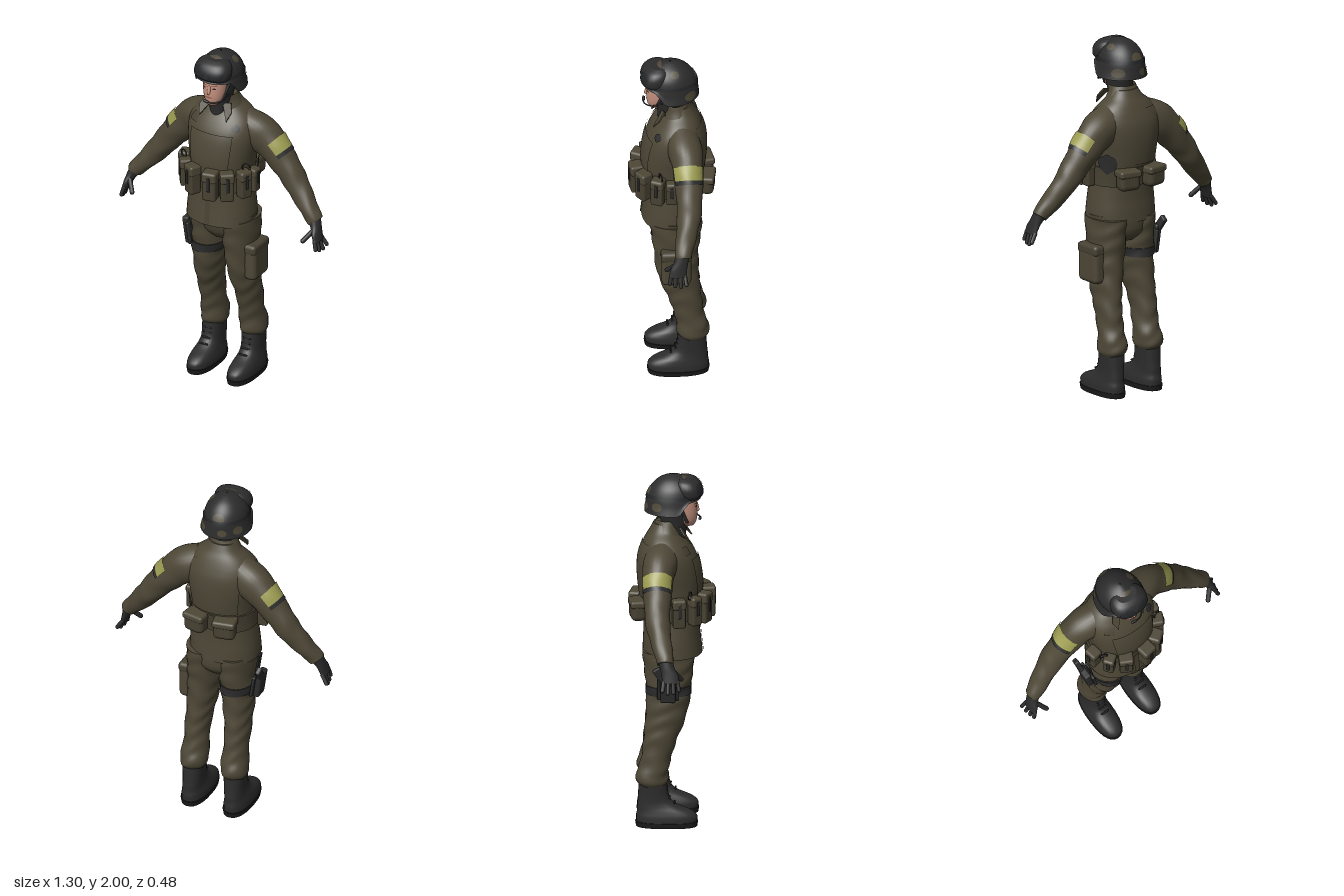
import * as THREE from 'three';
import { RoundedBoxGeometry } from 'three/addons/geometries/RoundedBoxGeometry.js';

const mat = (name, color, side = THREE.FrontSide) => {
  const m = new THREE.MeshStandardMaterial({ color, side });
  m.name = name;
  return m;
};

// Smooth interpolation of a list of cross-sections [x, y, z, halfU, halfZ]
function sample(secs, t) {
  const n = secs.length, i = Math.max(0, Math.min(Math.floor(t), n - 2)), f = t - i;
  const at = (k) => secs[Math.max(0, Math.min(n - 1, k))];
  return at(i).map((b, k) => {
    const a = at(i - 1)[k], c = at(i + 1)[k], d = at(i + 2)[k];
    return b + 0.5 * f * (c - a + f * (2 * a - 5 * b + 4 * c - d + f * (3 * (b - c) + d - a)));
  });
}

// Skin over cross-sections; limited t and angle ranges make patches lying on the same surface
function loft(secs, o = {}) {
  const n = secs.length - 1;
  const { t0 = 0, t1 = n, seg = 28, a0 = 0, a1 = Math.PI * 2, grow = 0, blob = false, p = 2, follow = false, fold = 0 } = o;
  const steps = o.steps ?? Math.max(4, Math.ceil((t1 - t0) * 4)), full = a1 - a0 > 6.28;
  const pos = [], idx = [], w = seg + 1, pw = (v) => Math.sign(v) * Math.abs(v) ** (2 / p);
  for (let i = 0; i <= steps; i++) {
    const t = t0 + ((t1 - t0) * i) / steps, [x, y, z, ru, rv] = sample(secs, t);
    let ux = 1, uy = 0;
    if (follow) {
      const A = sample(secs, Math.max(0, t - 0.1)), B = sample(secs, Math.min(n, t + 0.1));
      const l = Math.hypot(B[0] - A[0], B[1] - A[1]);
      ux = (B[1] - A[1]) / l; uy = -(B[0] - A[0]) / l;
    }
    const k = blob ? Math.max(0.05, Math.sqrt(1 - (2 * i / steps - 1) ** 2)) : 1, mid = (a0 + a1) / 2;
    for (let j = 0; j <= seg; j++) {
      const a = mid + (a0 - mid + ((a1 - a0) * j) / seg) * k;
      const g = grow + fold * Math.sin(y * 55 + 2 * Math.sin(a * 2 + y * 9));
      const c = pw(Math.cos(a)) * (ru + g), s = pw(Math.sin(a)) * (rv + g);
      pos.push(x + ux * c, y + uy * c, z + s);
    }
  }
  const at = (i, j) => i * w + (full ? j % seg : j);
  for (let i = 0; i < steps; i++) for (let j = 0; j < seg; j++)
    idx.push(at(i, j), at(i + 1, j), at(i, j + 1), at(i + 1, j), at(i + 1, j + 1), at(i, j + 1));
  // End caps on their own vertices
  if (full && !o.open) for (const i of [0, steps]) {
    const base = pos.length / 3, c = sample(secs, i ? t1 : t0);
    pos.push(c[0], c[1], c[2]);
    for (let j = 0; j < seg; j++) pos.push(...pos.slice((i * w + j) * 3, (i * w + j) * 3 + 3));
    for (let j = 0; j < seg; j++) {
      const a = base + 1 + j, b = base + 1 + ((j + 1) % seg);
      idx.push(base, ...(i ? [b, a] : [a, b]));
    }
  }
  const g = new THREE.BufferGeometry();
  g.setAttribute('position', new THREE.Float32BufferAttribute(pos, 3));
  g.setIndex(idx);
  g.computeVertexNormals();
  return g;
}

// Capsule between two points
function rod(a, b, r) {
  const A = new THREE.Vector3(...a), d = new THREE.Vector3(...b).sub(A);
  const g = new THREE.CapsuleGeometry(r, d.length(), 4, 10);
  g.applyQuaternion(new THREE.Quaternion().setFromUnitVectors(new THREE.Vector3(0, 1, 0), d.clone().normalize()));
  return g.translate(A.x + d.x / 2, A.y + d.y / 2, A.z + d.z / 2);
}

export function createModel() {
  const root = new THREE.Group();
  const cloth = mat('uniform olive', 0x4d4736), gear = mat('gear olive', 0x474132);
  const black = mat('black', 0x2c2c2d), blackOpen = black.clone(), clothOpen = cloth.clone();
  blackOpen.side = clothOpen.side = THREE.DoubleSide;
  const sole = mat('sole black', 0x1c1c1c), lens = mat('lens grey', 0x222426);
  const yellow = mat('armband yellow', 0x9c9c52), skin = mat('skin', 0xc4917f), lip = mat('lip', 0x9a6055);
  const add = (name, geo, m, parent = root) => {
    const mesh = new THREE.Mesh(geo, m);
    mesh.name = name;
    parent.add(mesh);
    return mesh;
  };
  const box = (w, h, d, r = 0.012) => new RoundedBoxGeometry(w, h, d, 2, r);
  const H = Math.PI / 2;

  // Jacket and vest
  const torso = [[0.98, 0.2, 0, 0.165], [1.05, 0.197, -0.003, 0.16], [1.12, 0.19, -0.005, 0.155], [1.22, 0.18, -0.01, 0.155],
    [1.35, 0.185, -0.012, 0.172], [1.45, 0.2, -0.02, 0.172], [1.53, 0.205, -0.028, 0.16], [1.59, 0.19, -0.035, 0.135],
    [1.64, 0.15, -0.043, 0.105], [1.68, 0.1, -0.045, 0.08], [1.72, 0.075, -0.04, 0.065]]
    .map(([y, rx, z, rz]) => [-0.005, y, z, rx, rz]);
  const T = { p: 2.2, seg: 40 };
  add('jacket', loft(torso, T), cloth);
  add('hemPlacket', loft(torso, { ...T, t0: 0.1, t1: 2.8, a0: H - 0.06, a1: H + 0.06, grow: 0.005, seg: 4 }), gear);
  add('chestPanel', loft(torso, { ...T, t0: 3.6, t1: 6.15, a0: H - 0.62, a1: H + 0.62, grow: 0.009, seg: 16 }), cloth);
  add('belt', loft(torso, { ...T, t0: 2.75, t1: 3.6, grow: 0.01 }), gear);
  add('backPanel', loft(torso, { ...T, t0: 3.7, t1: 7.6, a0: -H - 0.8, a1: -H + 0.8, grow: 0.006, seg: 16 }), cloth);
  add('sideDarkPatch', loft(torso, { ...T, t0: 3.35, t1: 4.3, a0: -0.85, a1: -0.2, grow: 0.013, seg: 12, blob: true }), black);
  add('chestBadge', loft(torso, { ...T, t0: 6.4, t1: 7.2, a0: H - 0.85, a1: H - 0.55, grow: 0.008, seg: 10, blob: true }), black);
  add('chestTag', loft(torso, { ...T, t0: 6.6, t1: 7.4, a0: H + 0.5, a1: H + 0.85, grow: 0.006, seg: 6 }), gear);

  // Collar
  const collar = [[-0.005, 1.655, -0.035, 0.115, 0.09], [-0.005, 1.7, -0.03, 0.09, 0.075], [-0.005, 1.74, -0.02, 0.075, 0.07]];
  add('collar', loft(collar, { a0: H + 0.6, a1: H + Math.PI * 2 - 0.6 }), clothOpen);
  for (const s of [1, -1]) {
    const sh = new THREE.Shape([[0, 0], [0.045, 0.015], [0.068, -0.035], [0.05, -0.095]].map(([x, y]) => new THREE.Vector2(s * x, y)));
    const flap = add('collarFlap', new THREE.ExtrudeGeometry(sh, { depth: 0.008, bevelEnabled: false }), cloth);
    flap.rotation.x = -0.6;
    flap.position.set(-0.005 + s * 0.035, 1.695, 0.046);
  }

  // Belt pouches: x, z, width, height, depth
  const pouches = [[-0.215, 0.04, 0.07, 0.16, 0.06], [-0.165, 0.125, 0.06, 0.16, 0.06], [-0.09, 0.175, 0.075, 0.17, 0.065],
    [0.035, 0.195, 0.08, 0.17, 0.07], [0.12, 0.16, 0.075, 0.17, 0.065], [0.185, 0.085, 0.07, 0.16, 0.06], [0.205, 0.01, 0.06, 0.14, 0.05],
    [-0.09, -0.19, 0.125, 0.115, 0.085], [0.085, -0.19, 0.125, 0.115, 0.085]];
  for (const [x, z, w, h, d] of pouches) {
    const g = new THREE.Group();
    g.name = 'beltPouch';
    g.position.set(x, z < -0.1 ? 1.24 : 1.255, z);
    g.rotation.y = z < -0.1 ? Math.PI - x * 2 : Math.atan2(x, z);
    add('pouchBody', box(w, h, d, z < -0.1 ? 0.03 : 0.012), gear, g);
    add('pouchFlap', box(w + 0.006, h * 0.36, d + 0.008, 0.014), cloth, g).position.y = h * 0.34;
    if (z > -0.1) add('pouchStrap', box(0.018, h * 0.5, 0.006, 0.002), black, g).position.set(0, 0.02, d / 2 + 0.005);
    root.add(g);
  }
  for (const [x, z] of [[-0.19, 0.1], [0.19, 0.07]]) {
    const ring = add('radioCable', new THREE.TorusGeometry(0.022, 0.004, 6, 16), black);
    ring.position.set(x, 1.35, z);
    ring.rotation.y = x * 2;
  }

  // Trousers, boots and thigh gear
  const hips = new THREE.Group();
  hips.name = 'legs';
  hips.position.x = 0.01;
  root.add(hips);
  add('trouserSeat', loft([[0, 0.865, -0.02, 0.07, 0.09], [0, 0.92, -0.02, 0.16, 0.135], [0, 1.02, -0.01, 0.188, 0.15]]), cloth, hips);
  for (const s of [1, -1]) {
    const place = ([x, ...r]) => [s * x, ...r];
    const leg = [[0.125, 0.235, -0.11, 0.06, 0.072], [0.124, 0.262, -0.11, 0.076, 0.088], [0.122, 0.31, -0.108, 0.077, 0.088],
      [0.12, 0.38, -0.09, 0.069, 0.082], [0.12, 0.5, -0.065, 0.069, 0.093], [0.113, 0.6, -0.04, 0.077, 0.108],
      [0.106, 0.7, -0.025, 0.086, 0.118], [0.1, 0.8, -0.02, 0.094, 0.123], [0.097, 0.9, -0.02, 0.098, 0.135],
      [0.095, 1.0, -0.02, 0.1, 0.145]].map(place);
    add('trouserLeg', loft(leg, { fold: 0.003, steps: 50 }), cloth, hips);
    if (s < 0) add('thighStrap', loft(leg, { fold: 0.003, t0: 6.6, t1: 7.1, grow: 0.006 }), black, hips);
    const boot = [[0.128, 0.025, -0.03, 0.071, 0.166], [0.128, 0.06, -0.03, 0.07, 0.168], [0.128, 0.09, -0.045, 0.064, 0.148],
      [0.127, 0.12, -0.08, 0.058, 0.112], [0.126, 0.16, -0.1, 0.056, 0.088], [0.125, 0.25, -0.106, 0.06, 0.077]].map(place);
    add('boot', loft(boot, { p: 2.4 }), black, hips);
    add('bootSole', loft([[0.128, 0, -0.03, 0.07, 0.168], [0.128, 0.03, -0.03, 0.075, 0.173]].map(place), { p: 2.4 }), sole, hips);
    for (let i = 0; i < 4; i++) {
      const y = 0.135 + i * 0.028, z = [0.018, -0.008, -0.02, -0.024][i];
      add('bootLace', rod([s * 0.105, y, z - 0.005], [s * 0.147, y, z - 0.005], 0.005), sole, hips);
    }
  }
  add('cargoPocket', box(0.075, 0.21, 0.165, 0.028), cloth, hips).position.set(0.193, 0.745, -0.015);
  add('cargoFlap', box(0.078, 0.06, 0.17, 0.02), gear, hips).position.set(0.194, 0.83, -0.015);

  // Thigh holster with pistol grip
  const holster = new THREE.Group();
  holster.name = 'holster';
  holster.position.set(-0.222, 0.82, -0.02);
  holster.rotation.z = 0.15;
  root.add(holster);
  add('holsterBody', box(0.04, 0.16, 0.085), black, holster);
  add('holsterPlate', box(0.018, 0.13, 0.12, 0.006), black, holster).position.set(0.02, -0.01, 0);
  const grip = add('pistolGrip', box(0.028, 0.1, 0.045, 0.008), black, holster);
  grip.position.set(-0.005, 0.085, -0.04);
  grip.rotation.x = -0.6;
  add('hangerStrap', box(0.012, 0.16, 0.04, 0.004), black, holster).position.set(0.03, 0.1, 0.01);

  // Sleeves, armbands and gloved hands
  for (const s of [1, -1]) {
    const place = ([x, ...r]) => [s * x, ...r];
    const arm = [[0.1, 1.56, -0.05, 0.095, 0.09], [0.19, 1.515, -0.065, 0.105, 0.096], [0.27, 1.45, -0.075, 0.095, 0.084],
      [0.37, 1.335, -0.075, 0.076, 0.073], [0.43, 1.255, -0.07, 0.068, 0.067], [0.5, 1.17, -0.05, 0.056, 0.058],
      [0.56, 1.1, -0.03, 0.047, 0.049], [0.575, 1.08, -0.028, 0.042, 0.045]].map(place);
    const A = { follow: true, fold: 0.002 }, out = s > 0 ? Math.PI : 0;
    add('sleeve', loft(arm, { ...A, steps: 40 }), cloth);
    add('armbandPatch', loft(arm, { ...A, t0: 1.9, t1: 2.4, a0: out - 1.15, a1: out + 1.15, grow: 0.006 }), yellow);
    add('armbandShade', loft(arm, { ...A, t0: 2.4, t1: 2.54, a0: out - 1.15, a1: out + 1.15, grow: 0.005 }), black);
    const palm = [[0.562, 1.105, -0.03, 0.04, 0.043], [0.585, 1.06, -0.015, 0.028, 0.04], [0.6, 1.02, 0, 0.021, 0.047],
      [0.613, 0.98, 0.005, 0.016, 0.046]].map(place);
    add('glove', loft(palm, { follow: true }), black);
    [-0.034, -0.009, 0.017, 0.041].forEach((z, i) => {
      const y = [0.945, 0.93, 0.932, 0.945][i];
      add('finger', rod([s * 0.609, 0.99, z], [s * (0.638 - i * 0.006), y, z * 1.2], 0.0115), black);
    });
    add('thumb', rod([s * 0.588, 1.045, 0.015], [s * 0.545, 0.985, 0.06], 0.0135), black);
  }

  // Hooded neck and face
  const head = new THREE.Group();
  head.name = 'head';
  head.position.x = -0.01;
  root.add(head);
  add('neckHood', loft([[0, 1.6, 0, 0.055, 0.072], [0, 1.68, 0.008, 0.062, 0.068], [0, 1.73, 0.01, 0.07, 0.076],
    [0, 1.8, 0.008, 0.082, 0.09], [0, 1.89, 0.005, 0.085, 0.095]]), black, head);
  const face = [[0, 1.705, 0.075, 0.028, 0.042], [0, 1.73, 0.07, 0.05, 0.061], [0, 1.77, 0.065, 0.063, 0.071],
    [0, 1.82, 0.062, 0.068, 0.073], [0, 1.88, 0.06, 0.068, 0.07]];
  add('face', loft(face), skin, head);
  add('nose', rod([0, 1.828, 0.13], [0, 1.793, 0.139], 0.0095), skin, head);
  add('mouth', loft(face, { t0: 1.75, t1: 2.03, a0: H - 0.36, a1: H + 0.36, grow: 0.003, blob: true, seg: 10 }), lip, head);
  for (const s of [1, -1]) {
    add('eye', loft(face, { t0: 2.92, t1: 3.1, a0: H + s * 0.45 - 0.16, a1: H + s * 0.45 + 0.16, grow: 0.003, blob: true, seg: 8 }), black, head);
    add('eyebrow', loft(face, { t0: 3.24, t1: 3.33, a0: H + s * 0.45 - 0.25, a1: H + s * 0.45 + 0.25, grow: 0.004, seg: 8 }), lip, head);
    add('chinStrap', rod([s * 0.078, 1.83, 0.045], [s * 0.05, 1.735, 0.08], 0.009), black, head);
    add('chinStrapFront', rod([s * 0.05, 1.735, 0.08], [0, 1.718, 0.118], 0.007), black, head);
  }
  const boom = new THREE.CatmullRomCurve3([[0.082, 1.77, 0.05], [0.072, 1.75, 0.11], [0.03, 1.743, 0.15], [-0.01, 1.745, 0.152]].map((v) => new THREE.Vector3(...v)));
  add('microphoneBoom', new THREE.TubeGeometry(boom, 16, 0.004, 6), black, head);
  add('microphone', rod([-0.02, 1.746, 0.15], [0, 1.744, 0.152], 0.008), black, head);

  // Helmet: the rim is lifted over the face
  const shell = [[1.79, 0.142, 0, 0.155], [1.83, 0.131, 0, 0.15], [1.88, 0.122, 0.002, 0.145], [1.93, 0.105, 0.005, 0.124],
    [1.97, 0.07, 0.005, 0.085], [1.992, 0.03, 0.005, 0.04], [2, 0.004, 0.005, 0.005]].map(([y, rx, z, rz]) => [0, y, z, rx, rz]);
  const helmetGeo = loft(shell, { seg: 40, open: true }), hp = helmetGeo.attributes.position;
  for (let i = 0; i < hp.count; i++) {
    const y = hp.getY(i);
    if (y < 1.87) hp.setY(i, y + (1.87 - y) * 0.9 * THREE.MathUtils.smoothstep(hp.getZ(i), 0.03, 0.1));
  }
  helmetGeo.computeVertexNormals();
  add('helmet', helmetGeo, blackOpen, head);
  // Camouflage patches: t range, angle, half-angle
  for (const [t0, t1, a, h] of [[0.4, 1.5, -0.75, 0.28], [0.5, 1.4, -H - 0.3, 0.2], [2, 3.1, -H - 0.1, 0.3], [3.1, 4.9, H, 0.8],
    [0.6, 1.6, Math.PI + 0.6, 0.22], [3.3, 4.2, -0.2, 0.25]])
    add('helmetPatch', loft(shell, { t0, t1, a0: a - h, a1: a + h, grow: 0.003, blob: true, seg: 12, steps: 10 }), cloth, head);
  add('goggleStrap', loft(shell, { t0: 1.9, t1: 2.3, a0: H + 0.7, a1: H + Math.PI * 2 - 0.7, grow: 0.004 }), lens, head);

  // Goggles
  const goggles = [[0, 1.868, 0.085, 0.09, 0.06], [0, 1.89, 0.09, 0.105, 0.077], [0, 1.93, 0.085, 0.107, 0.077],
    [0, 1.963, 0.075, 0.09, 0.065], [0, 1.98, 0.068, 0.06, 0.04]];
  add('goggleFrame', loft(goggles, { p: 2.3 }), black, head);
  for (const s of [1, -1])
    add('goggleLens', loft(goggles, { p: 2.3, t0: 0.8, t1: 2.8, a0: H + s * 0.5 - 0.47, a1: H + s * 0.5 + 0.47, grow: 0.003, blob: true, seg: 14, steps: 12 }), lens, head);
  return root;
}
